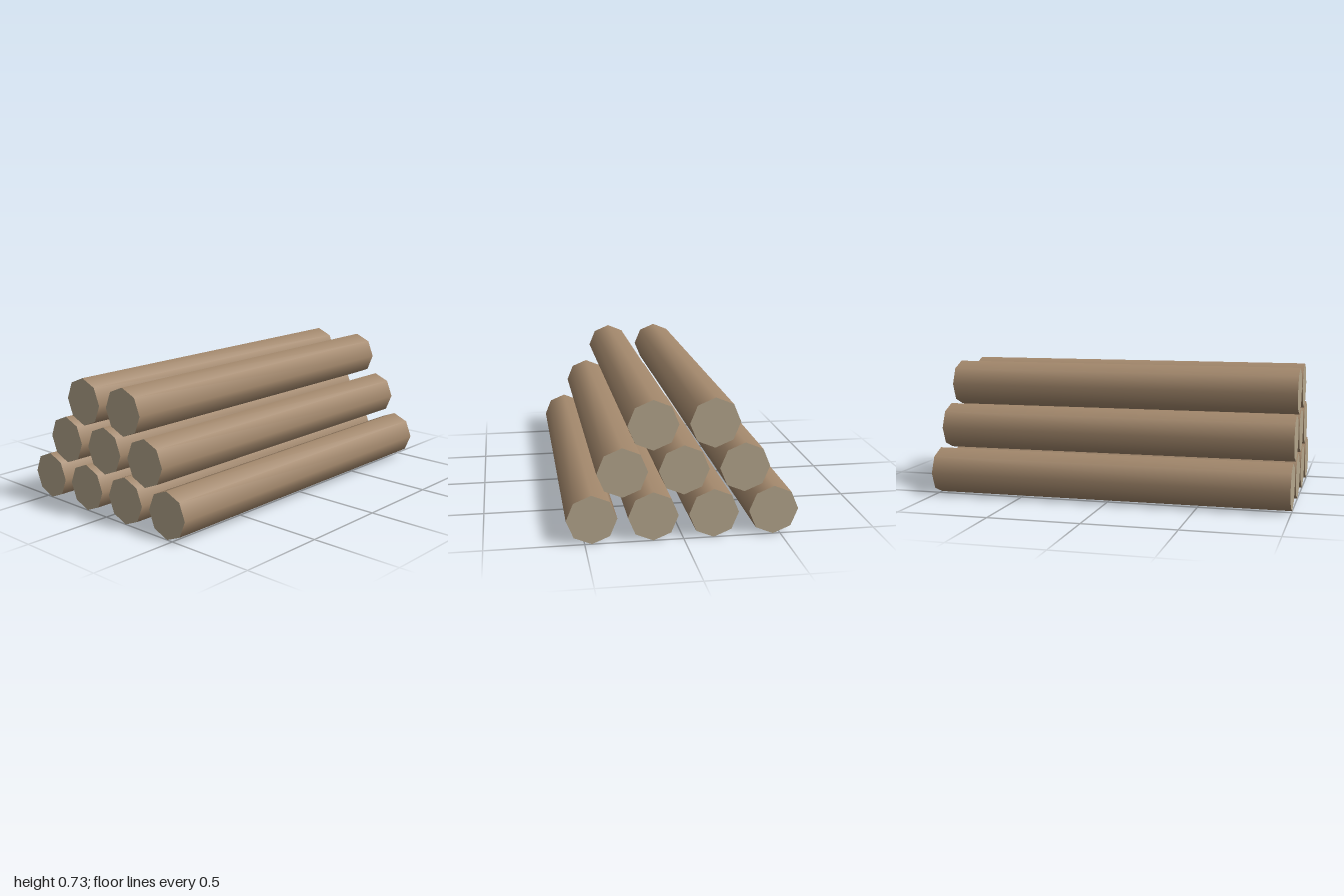
import * as THREE from 'three';

export function createModel() {
  const model = new THREE.Group();
  model.name = 'logPile';

  const bark = new THREE.MeshStandardMaterial({ color: 0xa3886c });
  bark.name = 'bark brown';
  const cutWood = new THREE.MeshStandardMaterial({ color: 0xb5a78d });
  cutWood.name = 'cut wood';

  // Eight-sided log lying along x, smooth bark and flat cut ends
  const radius = 0.128, spacing = 0.309, rise = 0.2365;
  const logGeometry = new THREE.CylinderGeometry(radius, radius, 2, 8);
  logGeometry.rotateZ(-Math.PI / 2);
  const materials = [bark, cutWood, cutWood]; // side, two ends

  // Stacked rows, each with one log fewer than the row below
  [4, 3, 2].forEach((count, row) => {
    const layer = new THREE.Group();
    layer.name = `logRow${row + 1}`;
    for (let i = 0; i < count; i++) {
      const log = new THREE.Mesh(logGeometry, materials);
      log.name = `log${row + 1}_${i + 1}`;
      log.position.set(0, radius + row * rise, (i - (count - 1) / 2) * spacing);
      layer.add(log);
    }
    model.add(layer);
  });

  return model;
}
